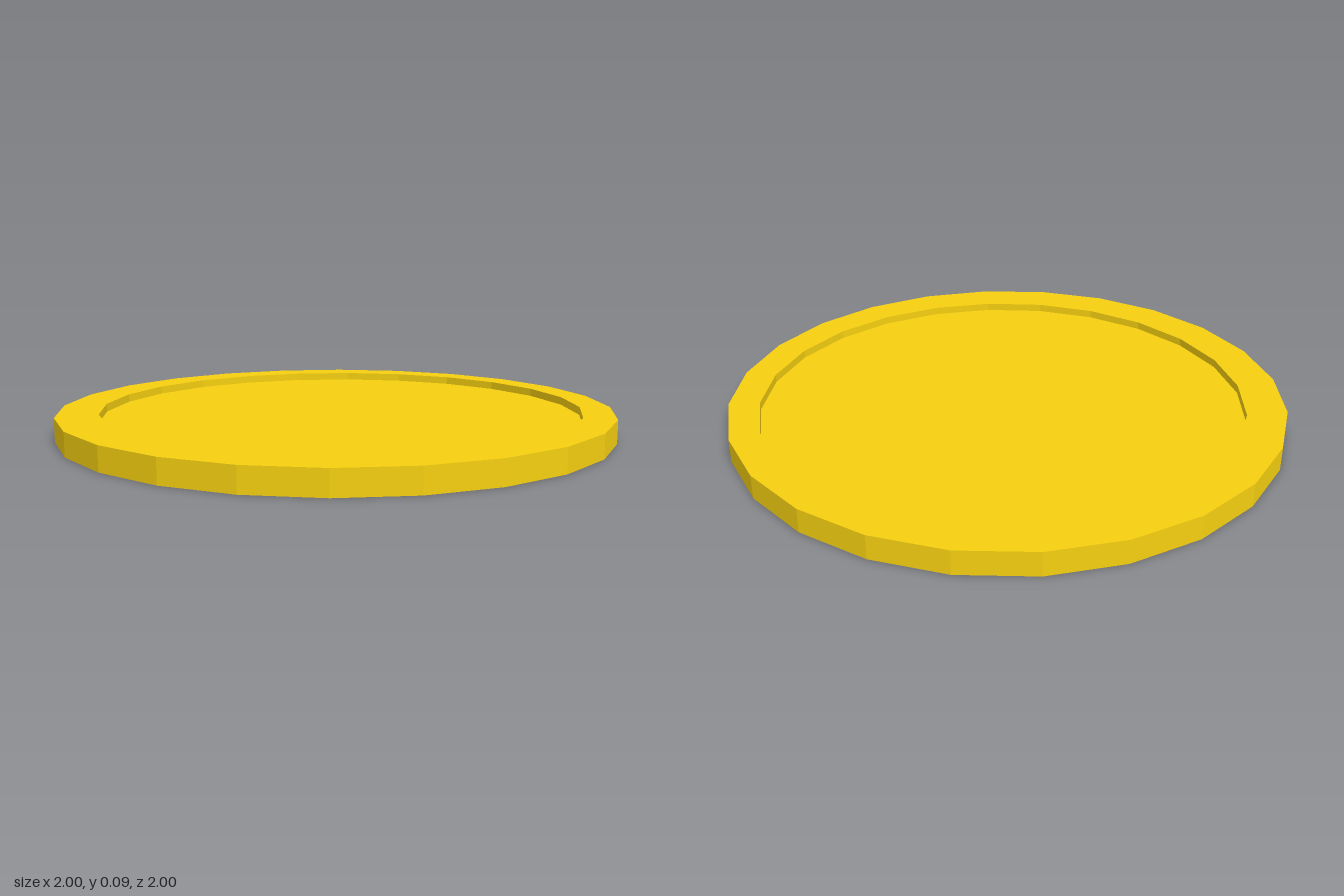
import * as THREE from 'three';

const SIDES = 24;
const HEIGHT = 0.085;

// Corners of a regular polygon in the ground plane
function ringPoints(radius, cx, turn) {
  return Array.from({ length: SIDES }, (_, i) => {
    const a = (i / SIDES) * Math.PI * 2 + turn;
    return new THREE.Vector2(cx + radius * Math.cos(a), radius * Math.sin(a));
  });
}

// Extrude a shape upwards from height y0 to y1
function slab(shape, y0, y1) {
  const g = new THREE.ExtrudeGeometry(shape, { depth: y1 - y0, bevelEnabled: false });
  g.rotateX(-Math.PI / 2);
  g.translate(0, y0, 0);
  return g;
}

export function createModel() {
  const model = new THREE.Group();
  model.name = 'coin';
  const gold = new THREE.MeshStandardMaterial({ color: 0xf6d010, flatShading: true });

  // The recess sits slightly off centre and is turned a little against the rim
  const inner = ringPoints(0.871, 0.026, -0.024);

  // Raised rim
  const rimShape = new THREE.Shape(ringPoints(1, 0, 0));
  rimShape.holes.push(new THREE.Path(inner));
  const rim = new THREE.Mesh(slab(rimShape, 0, HEIGHT), gold);
  rim.name = 'rim';
  model.add(rim);

  // Thin plate filling the rim, recessed on both faces
  const plate = new THREE.Mesh(slab(new THREE.Shape(inner), 0.05, 0.056), gold);
  plate.name = 'plate';
  model.add(plate);

  return model;
}
